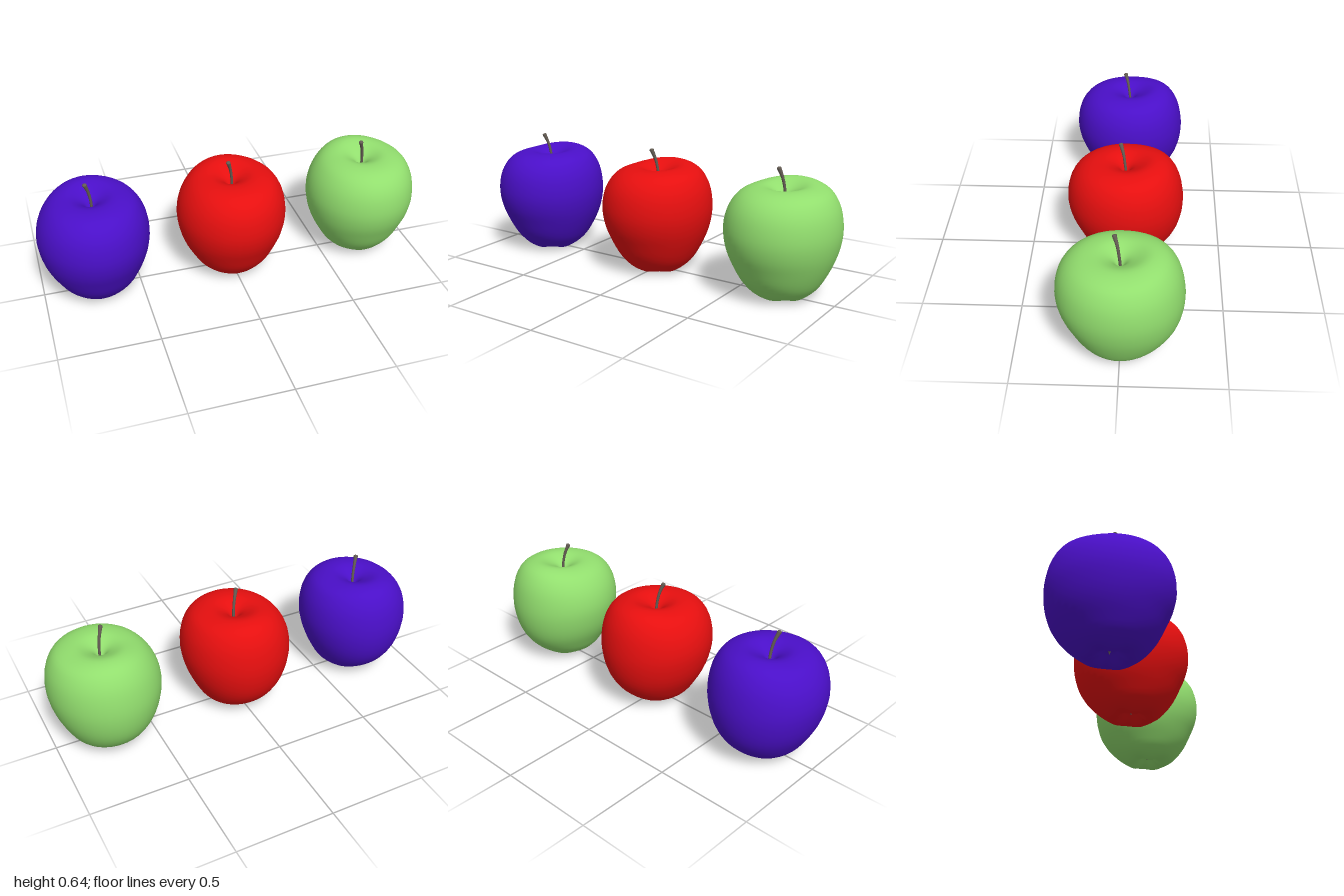
import * as THREE from 'three';

const V2 = (p) => new THREE.Vector2(p[0], p[1]);

// Dimples shared by all directions: [radius, height], bottom to top
const lower = [[0, 0.05], [0.025, 0.045], [0.055, 0.022]];
const upper = [[0.068, 0.533], [0.035, 0.51], [0.013, 0.48], [0, 0.47]];

// Outer skin toward front, left (+x), back and right (-x)
const sides = [
  [[0.095, 0.008], [0.145, 0.026], [0.185, 0.066], [0.221, 0.115], [0.253, 0.18], [0.283, 0.25],
    [0.298, 0.325], [0.293, 0.4], [0.273, 0.462], [0.236, 0.51], [0.182, 0.54], [0.115, 0.547]],
  [[0.09, 0.008], [0.13, 0.016], [0.178, 0.056], [0.21, 0.105], [0.245, 0.18], [0.268, 0.25],
    [0.28, 0.325], [0.276, 0.4], [0.258, 0.465], [0.222, 0.52], [0.17, 0.545], [0.115, 0.551]],
  [[0.1, 0.009], [0.147, 0.03], [0.193, 0.066], [0.235, 0.112], [0.269, 0.17], [0.29, 0.24],
    [0.298, 0.32], [0.29, 0.4], [0.27, 0.47], [0.236, 0.525], [0.193, 0.555], [0.135, 0.562]],
  [[0.09, 0.01], [0.135, 0.025], [0.18, 0.065], [0.212, 0.115], [0.247, 0.18], [0.27, 0.25],
    [0.281, 0.33], [0.273, 0.4], [0.25, 0.46], [0.212, 0.51], [0.165, 0.537], [0.11, 0.546]],
];

// Skin blended around the axis between the four directional profiles
function fruitGeometry() {
  const rows = 54, segs = 48, pos = [], index = [];
  const curves = sides.map((s) => new THREE.SplineCurve([...lower, ...s, ...upper].map(V2)));
  for (let j = 0; j <= rows; j++) {
    const pts = curves.map((c) => c.getPoint(j / rows));
    for (let i = 0; i < segs; i++) {
      const a = (i / segs) * Math.PI * 2, s = Math.sin(a), c = Math.cos(a);
      const pz = c > 0 ? pts[0] : pts[2], px = s > 0 ? pts[1] : pts[3];
      const r = pz.x * c * c + px.x * s * s;
      let y = pz.y * c * c + px.y * s * s;
      // five soft lobes around the base
      if (y < 0.3) y -= 0.006 * Math.cos(5 * a) * Math.exp(-(((r - 0.09) / 0.045) ** 2));
      pos.push(r * s, Math.max(y, 0), r * c);
      if (j < rows) {
        const p = j * segs + i, q = j * segs + ((i + 1) % segs);
        if (j > 0) index.push(p, q, q + segs);
        if (j < rows - 1 || j === 0) index.push(p, q + segs, p + segs);
        else index.push(p, q, p + segs);
      }
    }
  }
  const g = new THREE.BufferGeometry();
  g.setAttribute('position', new THREE.Float32BufferAttribute(pos, 3));
  g.setIndex(index);
  g.computeVertexNormals();
  return g;
}

// Curved stalk: a tube that swells toward its tip, closed with a rounded end
function stemGeometry() {
  const curve = new THREE.CatmullRomCurve3([
    new THREE.Vector3(0.006, 0.46, -0.004), new THREE.Vector3(0.003, 0.53, 0.003),
    new THREE.Vector3(-0.006, 0.585, 0.011), new THREE.Vector3(-0.021, 0.635, 0.025),
  ]);
  const rows = 16, sides = 10;
  const g = new THREE.TubeGeometry(curve, rows, 1, sides, false);
  const p = g.attributes.position, v = new THREE.Vector3();
  for (let i = 0; i < p.count; i++) {
    const t = Math.floor(i / (sides + 1)) / rows, c = curve.getPointAt(t);
    v.fromBufferAttribute(p, i).sub(c).multiplyScalar(0.0068 + 0.0045 * t ** 5).add(c);
    p.setXYZ(i, v.x, v.y, v.z);
  }
  return { tube: g, tip: curve.getPointAt(1), dir: curve.getTangentAt(1) };
}

export function createModel() {
  const model = new THREE.Group();
  const skin = fruitGeometry(), { tube, tip, dir } = stemGeometry();
  const wood = new THREE.MeshStandardMaterial({ color: 0x655d54 });
  const add = (parent, name, geometry, material) => {
    const mesh = new THREE.Mesh(geometry, material);
    mesh.name = name;
    parent.add(mesh);
    return mesh;
  };

  [['purpleApple', 0x4a0fc8], ['redApple', 0xe60f0f], ['greenApple', 0x92de6e]].forEach(([name, color], i) => {
    const apple = new THREE.Group();
    apple.name = name;
    apple.position.x = (i - 1) * 0.719;
    add(apple, 'skin', skin, new THREE.MeshStandardMaterial({ color }));
    add(apple, 'stem', tube, wood);
    const end = add(apple, 'stemTip', new THREE.SphereGeometry(0.0113, 10, 8), wood);
    end.position.copy(tip);
    end.quaternion.setFromUnitVectors(new THREE.Vector3(0, 1, 0), dir);
    end.scale.y = 0.5;
    // dried blossom remnant in the lower dimple
    const calyx = add(apple, 'calyx', new THREE.ConeGeometry(0.012, 0.03, 8), wood);
    calyx.rotation.x = Math.PI;
    calyx.position.y = 0.043;
    model.add(apple);
  });
  return model;
}
